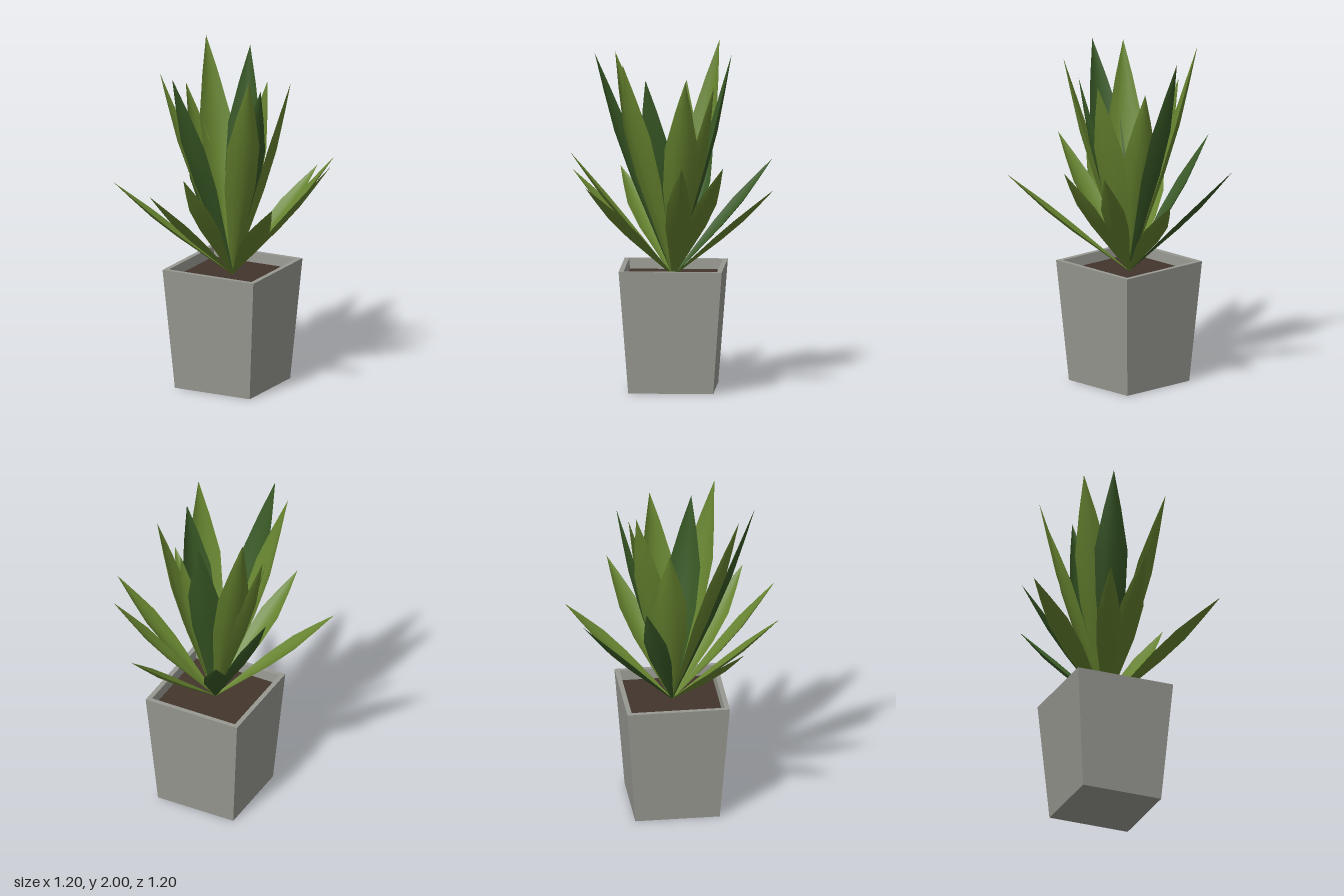
import * as THREE from 'three';

const SOIL_Y = 0.66;

// Square, flat-faced solid of revolution; profile gives [half side, y]
function squareLathe(profile) {
  const pts = profile.map(([h, y]) => new THREE.Vector2(h * Math.SQRT2, y));
  const geo = new THREE.LatheGeometry(pts, 4, Math.PI / 4).toNonIndexed();
  geo.computeVertexNormals();
  return geo;
}

// Pointed, cupped blade from the pot centre to a tip
function leafGeometry(tip, width, sag) {
  const base = new THREE.Vector3(0, SOIL_Y, 0);
  const axis = tip.clone().sub(base);
  const side = new THREE.Vector3(axis.z, 0, -axis.x).normalize();
  const out = new THREE.Vector3().crossVectors(side, axis).normalize();
  if (out.y > 0) out.negate(); // underside: outward and down
  const rows = [[0, 0.1], [0.22, 0.52], [0.45, 0.96], [0.66, 1], [0.84, 0.52], [1, 0]];
  const cols = [-1, -0.5, 0, 0.5, 1];
  const pos = [], index = [];
  for (const [s, w] of rows) {
    for (const c of cols) {
      const p = base.clone().addScaledVector(axis, s)
        .addScaledVector(side, c * w * width)
        .addScaledVector(out, (1 - c * c) * w * sag);
      pos.push(p.x, p.y, p.z);
    }
  }
  const n = cols.length;
  for (let r = 0; r < rows.length - 1; r++) {
    for (let c = 0; c < n - 1; c++) {
      const a = r * n + c, b = a + 1, d = a + n, e = d + 1;
      index.push(a, b, d);
      if (r < rows.length - 2) index.push(b, e, d);
    }
  }
  const geo = new THREE.BufferGeometry();
  geo.setAttribute('position', new THREE.Float32BufferAttribute(pos, 3));
  geo.setIndex(index);
  geo.computeVertexNormals();
  return geo;
}

export function createModel() {
  const concrete = new THREE.MeshStandardMaterial({ name: 'concreteGrey', color: 0x989892 });
  const earth = new THREE.MeshStandardMaterial({ name: 'soilBrown', color: 0x42352c });
  const light = new THREE.MeshStandardMaterial({ name: 'leafGreen', color: 0x66832f, side: THREE.DoubleSide });
  const dark = new THREE.MeshStandardMaterial({ name: 'darkLeafGreen', color: 0x385825, side: THREE.DoubleSide });

  const model = new THREE.Group();
  model.name = 'pottedPlant';
  const add = (name, geo, mat, parent = model) => {
    const mesh = new THREE.Mesh(geo, mat);
    mesh.name = name;
    parent.add(mesh);
  };

  // Tapered square pot with an open rim
  add('pot', squareLathe([[0, 0], [0.247, 0], [0.3, 0.72], [0.272, 0.72], [0.266, 0.64]]), concrete);

  // Soil surface
  const soil = new THREE.PlaneGeometry(0.535, 0.535).rotateX(-Math.PI / 2).translate(0, SOIL_Y, 0);
  add('soil', soil, earth);

  // Leaf tips: x, y, z, colour
  const outerTips = [
    [0, 1.38, 0.6, light], [0.52, 1.24, 0.48, light], [0.6, 1.37, -0.085, light],
    [0.5, 1.36, -0.32, light], [0.236, 1.2, -0.6, light], [-0.3, 1.31, -0.56, dark],
    [-0.44, 1.44, -0.207, dark], [-0.6, 1.22, 0.343, light], [-0.223, 1.25, 0.6, light],
  ];
  const innerTips = [
    [-0.31, 2.0, -0.25, light], [-0.34, 1.76, -0.058, light], [-0.065, 1.95, -0.336, dark],
    [0.1, 1.78, -0.243, light], [0.336, 1.84, -0.09, light], [0.265, 1.84, 0.146, dark],
    [0.26, 1.93, 0.28, light], [-0.146, 1.94, 0.466, dark], [-0.288, 1.93, 0.355, light],
  ];
  const addLeaves = (name, tips, width, sag) => {
    const group = new THREE.Group();
    group.name = name;
    for (const [x, y, z, mat] of tips) {
      add('leaf', leafGeometry(new THREE.Vector3(x, y, z), width, sag), mat, group);
    }
    model.add(group);
  };
  addLeaves('outerLeaves', outerTips, 0.07, 0.025);
  addLeaves('innerLeaves', innerTips, 0.097, 0.035);

  return model;
}
